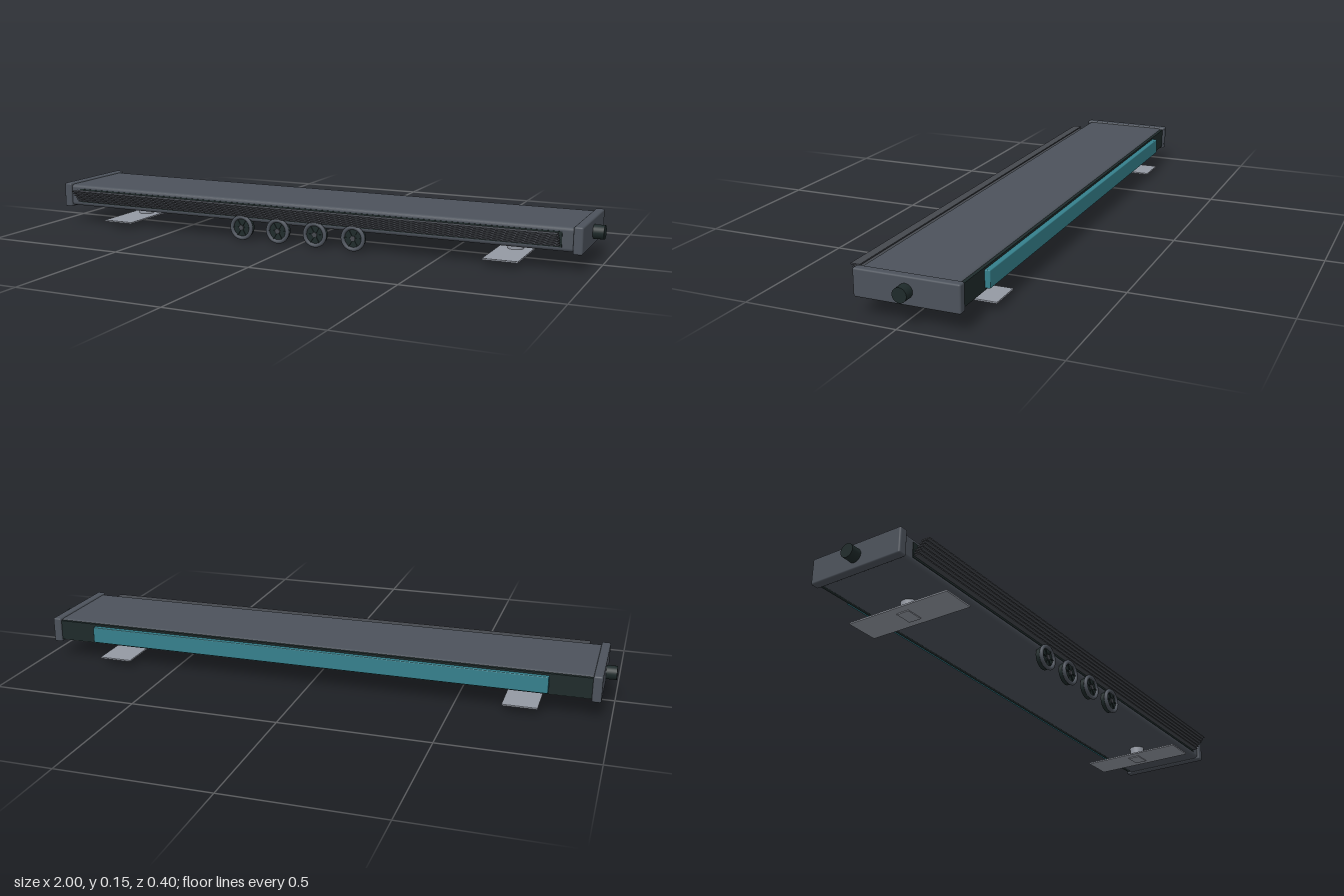
import * as THREE from 'three';
import { RoundedBoxGeometry } from 'three/addons/geometries/RoundedBoxGeometry.js';

const mat = (name, color) => {
  const m = new THREE.MeshStandardMaterial({ color });
  m.name = name;
  return m;
};

export function createModel() {
  const casing = mat('slate casing', 0x4c525b);
  const dark = mat('dark rubber', 0x1e2a2a);
  const slatGrey = mat('slat grey', 0x45484e);
  const teal = mat('teal', 0x35808c);
  const steel = mat('light steel', 0x9499a3);

  const model = new THREE.Group();
  model.name = 'longBar';
  const add = (name, geometry, material, x, y, z, parent = model) => {
    const mesh = new THREE.Mesh(geometry, material);
    mesh.name = name;
    mesh.position.set(x, y, z);
    parent.add(mesh);
    return mesh;
  };
  const box = (w, h, d) => new THREE.BoxGeometry(w, h, d);
  const rounded = (w, h, d, r) => new RoundedBoxGeometry(w, h, d, 3, r);

  // Long casing with a dark front recess
  add('casing', rounded(1.9, 0.078, 0.315, 0.012), casing, 0, 0.104, -0.0105);
  add('frontRecess', box(1.8, 0.05, 0.004), dark, 0, 0.104, 0.147);

  // Back panel with its teal strip
  add('backPanel', box(1.9, 0.07, 0.02), dark, 0, 0.104, -0.166);
  add('backStrip', rounded(1.6, 0.056, 0.02, 0.003), teal, 0, 0.104, -0.183);

  // Stepped front slats, the highest one standing furthest out
  for (let i = 0; i < 6; i++) {
    add('frontSlat', box(1.79, 0.004, 0.03), slatGrey, 0, 0.128 - i * 0.0081, 0.188 - i * 0.007);
  }

  // End caps, side knobs and feet
  for (const side of [-1, 1]) {
    add('endCap', rounded(0.03, 0.088, 0.337, 0.006), casing, side * 0.95, 0.104, -0.0135);
    const knob = add('sideKnob', new THREE.CylinderGeometry(0.023, 0.023, 0.04, 32), dark, side * 0.98, 0.104, -0.0135);
    knob.rotation.z = Math.PI / 2;

    const foot = new THREE.Group();
    foot.name = 'foot';
    foot.position.set(side * 0.715, 0, -0.013);
    model.add(foot);
    add('footPost', new THREE.CylinderGeometry(0.027, 0.027, 0.046, 32), steel, 0, 0.047, 0, foot);
    add('footPlate', box(0.115, 0.005, 0.375), steel, 0, 0.024, 0, foot);
    add('footHinge', box(0.06, 0.004, 0.045), steel, 0, 0.02, 0, foot);
  }

  // Row of four dials below the front edge
  for (let i = 0; i < 4; i++) {
    const dial = new THREE.Group();
    dial.name = 'dial';
    dial.position.set(-0.21 + i * 0.14, 0.045, 0);
    model.add(dial);
    const disc = add('dialDisc', new THREE.CylinderGeometry(0.039, 0.039, 0.021, 40), dark, 0, 0, 0.1475, dial);
    disc.rotation.x = Math.PI / 2;
    add('dialRim', new THREE.TorusGeometry(0.037, 0.007, 10, 40), casing, 0, 0, 0.158, dial);
    const hub = add('dialHub', new THREE.CylinderGeometry(0.009, 0.009, 0.006, 20), slatGrey, 0, 0, 0.16, dial);
    hub.rotation.x = Math.PI / 2;
    for (let k = 0; k < 3; k++) {
      const spoke = add('dialSpoke', box(0.064, 0.004, 0.004), dark, 0, 0, 0.159, dial);
      spoke.rotation.z = (k * Math.PI) / 3;
    }
  }
  return model;
}
